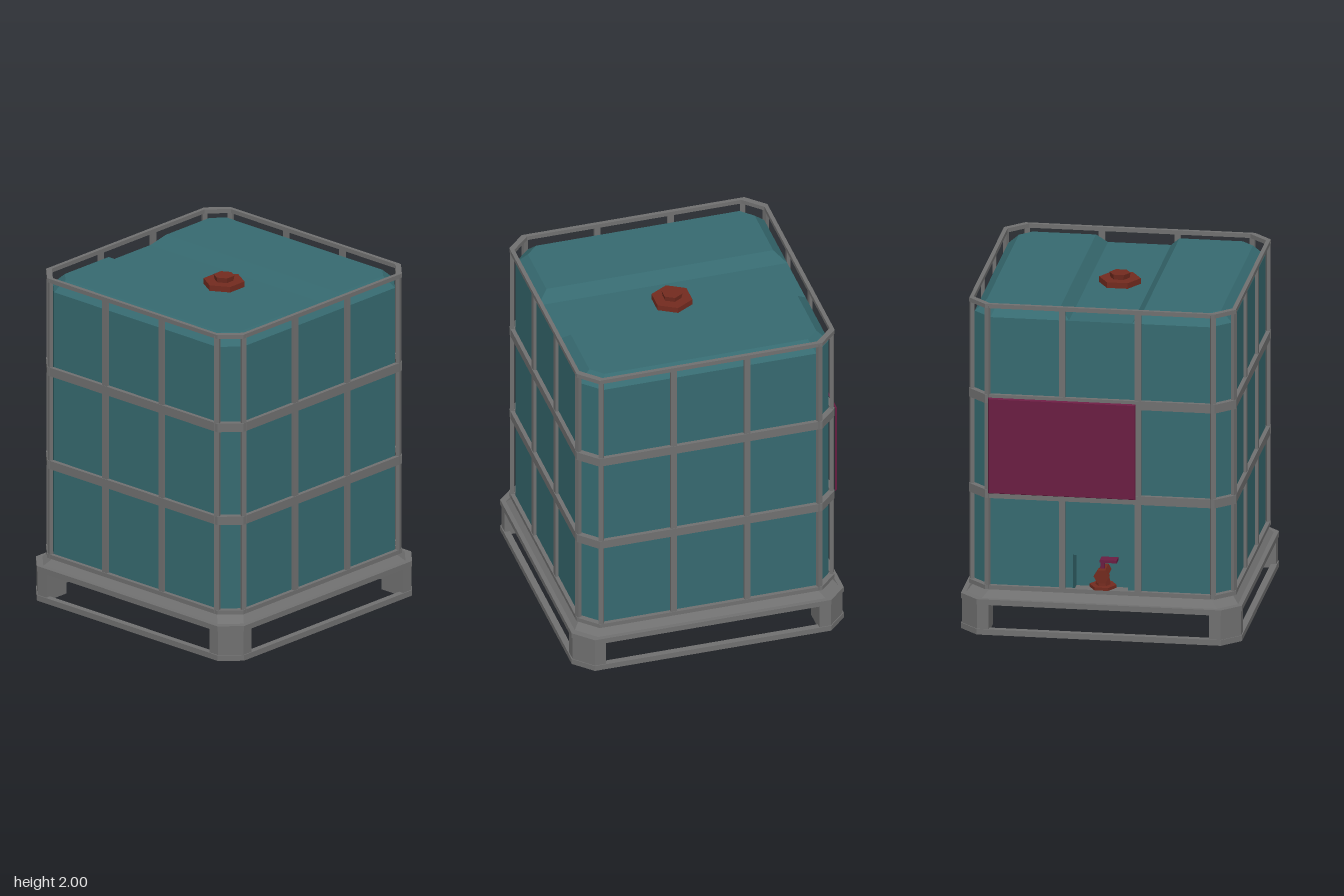
import * as THREE from 'three';

const mat = (name, color) => Object.assign(new THREE.MeshStandardMaterial({ color }), { name });

// Chamfered square outline of half width r, as [x, z] corners
const octagon = (r, c = 0.108) => {
  const m = r - c;
  return [[-m, r], [m, r], [r, m], [r, -m], [m, -r], [-m, -r], [-r, -m], [-r, m]];
};
const atHeight = (points, y) => points.map(([x, z]) => [x, y, z]);

// Flat-faced skin through loops of [x, y, z]; end is 'closed' (back to the first loop), 'cap' or 'open'
function loft(loops, end) {
  const pos = [];
  const tri = (...p) => p.forEach((v) => pos.push(...v));
  const n = loops[0].length;
  const rows = end === 'closed' ? loops.length : loops.length - 1;
  for (let i = 0; i < rows; i++) {
    const lo = loops[i], hi = loops[(i + 1) % loops.length];
    for (let k = 0; k < n; k++) {
      const j = (k + 1) % n;
      tri(lo[k], lo[j], hi[j]);
      tri(lo[k], hi[j], hi[k]);
    }
  }
  const top = loops[loops.length - 1];
  if (end === 'cap') for (let k = 1; k < n - 1; k++) tri(top[0], top[k], top[k + 1]);
  const g = new THREE.BufferGeometry();
  g.setAttribute('position', new THREE.Float32BufferAttribute(pos, 3));
  g.computeVertexNormals();
  return g;
}

// Octagonal ring with a cross-section given as [r, y]: outer side upwards, then inner side down
const ring = (profile) => loft(profile.map(([r, y]) => atHeight(octagon(r), y)), 'closed');
const flatRing = (inner, outer, y0, y1) => ring([[outer, y0], [outer, y1], [inner, y1], [inner, y0]]);

const outline = (points) => new THREE.Shape(points.map(([x, z]) => new THREE.Vector2(x, -z)));

export function createModel() {
  const teal = mat('tankTeal', 0x366a70);
  const grey = mat('frameGrey', 0x707070);
  const rust = mat('capRust', 0x732b1f);
  const plum = mat('plaquePlum', 0x6a1d42);
  const model = new THREE.Group();
  model.name = 'liquidContainer';

  const group = (name) => {
    const g = new THREE.Group();
    g.name = name;
    model.add(g);
    return g;
  };
  const add = (parent, name, geometry, material, x = 0, y = 0, z = 0) => {
    const m = new THREE.Mesh(geometry, material);
    m.name = name;
    m.position.set(x, y, z);
    parent.add(m);
    return m;
  };
  const box = (w, h, d) => new THREE.BoxGeometry(w, h, d);
  const hex = (r0, r1, h) => new THREE.CylinderGeometry(r0, r1, h, 6).toNonIndexed();
  const flat = (g) => { g.computeVertexNormals(); return g; };

  // Tank walls with a valve recess low on the -x side
  const tank = group('tank');
  const R = 0.753, W = 0.16, FLOOR = 0.25, RECESS = 0.49, ROOF = 1.912;
  const wall = (depth) => {
    const o = octagon(R), d = R - depth;
    return [...o.slice(0, 7), [-R, -W], [-d, -W], [-d, W], [-R, W], o[7]];
  };
  const walls = [[wall(0.123), FLOOR], [wall(0.123), RECESS], [wall(0), RECESS], [wall(0), ROOF]];
  add(tank, 'tankWalls', loft(walls.map(([p, y]) => atHeight(p, y)), 'open'), teal);
  add(tank, 'tankFloor', new THREE.ShapeGeometry(outline(wall(0.123))).rotateX(-Math.PI / 2), teal, 0, FLOOR, 0)
    .material = Object.assign(teal, { side: THREE.DoubleSide });

  // Roof: a groove floor between two mirrored humps
  add(tank, 'grooveFloor', new THREE.PlaneGeometry(2 * R, 0.37).rotateX(-Math.PI / 2), teal, 0, ROOF, 0);
  const hump = (r, m, inner, y) =>
    atHeight([[-m, r], [m, r], [r, m], [r, inner], [-r, inner], [-r, m]], y);
  for (const turn of [0, Math.PI]) {
    add(tank, 'roofHump', loft([hump(R, 0.645, 0.185, ROOF), hump(0.686, 0.615, 0.244, 1.976)], 'cap'), teal)
      .rotation.y = turn;
  }

  // Filling cap
  const cap = group('fillingCap');
  add(cap, 'capBase', flat(hex(0.122, 0.122, 0.034)), rust, 0, 1.929, 0);
  add(cap, 'capKnob', flat(hex(0.062, 0.056, 0.032)), rust, 0, 1.961, 0);

  // Cage: horizontal hoops, then upright bars on each side and at each corner edge
  const cage = group('cage');
  for (const [y0, y1] of [[0.265, 0.29], [0.82, 0.872], [1.397, 1.45], [1.975, 2]]) {
    add(cage, 'hoop', flatRing(0.757, 0.781, y0, y1), grey);
  }
  for (let s = 0; s < 4; s++) {
    const side = new THREE.Group();
    side.name = 'cageSide';
    side.rotation.y = (s * Math.PI) / 2;
    cage.add(side);
    for (const x of [-0.222, 0.222]) add(side, 'uprightBar', box(0.037, 1.72, 0.019), grey, x, 1.13, 0.768);
    for (const x of [-1, 1]) {
      add(side, 'cornerBar', box(0.03, 1.72, 0.022), grey, x * 0.66, 1.13, 0.767).rotation.y = x * Math.PI / 8;
    }
  }

  // Pallet: sloped skirt, deck rim, feet and ground hoop
  const pallet = group('pallet');
  add(pallet, 'skirt', ring([[0.797, 0.214], [0.752, 0.266], [0.74, 0.266], [0.74, 0.214]]), grey);
  add(pallet, 'deckRim', flatRing(0.74, 0.823, 0.182, 0.215), grey);
  add(pallet, 'groundHoop', flatRing(0.785, 0.823, 0, 0.034), grey);
  const footShape = outline([[0.645, 0.645], [0.645, 0.817], [0.714, 0.817], [0.817, 0.714], [0.817, 0.645]]);
  for (let s = 0; s < 4; s++) {
    const foot = new THREE.ExtrudeGeometry(footShape, { depth: 0.175, bevelEnabled: false });
    add(pallet, 'foot', foot.rotateX(-Math.PI / 2), grey, 0, 0.012, 0).rotation.y = (s * Math.PI) / 2;
  }
  add(pallet, 'valveShelf', box(0.125, 0.02, 0.32), grey, -0.69, 0.256, 0);

  // Sign plate on the cage: a shallow bevelled shell, open towards the tank
  const panel = (h, w, y) => atHeight([[-h, w], [h, w], [h, -w], [-h, -w]], y);
  const plate = loft([panel(0.291, 0.432, 0), panel(0.285, 0.426, 0.014)], 'cap').rotateZ(Math.PI / 2);
  add(model, 'signPlate', plate, plum, -0.79, 1.143, -0.22);

  // Drain valve inside the recess
  const valve = group('drainValve');
  const along = (g) => flat(g.rotateZ(Math.PI / 2));
  add(valve, 'pipe', along(hex(0.036, 0.036, 0.13)), rust, -0.69, 0.375, 0.01);
  add(valve, 'outletCap', along(hex(0.045, 0.045, 0.04)), rust, -0.77, 0.375, 0.01);
  add(valve, 'spout', flat(hex(0.036, 0.045, 0.07)), rust, -0.72, 0.335, 0.01);
  add(valve, 'spoutFlange', flat(hex(0.08, 0.08, 0.018)), rust, -0.72, 0.3, 0.01);
  add(valve, 'stem', box(0.024, 0.08, 0.024), plum, -0.73, 0.43, 0.01);
  add(valve, 'lever', box(0.07, 0.016, 0.1), plum, -0.752, 0.468, 0.05);
  return model;
}
